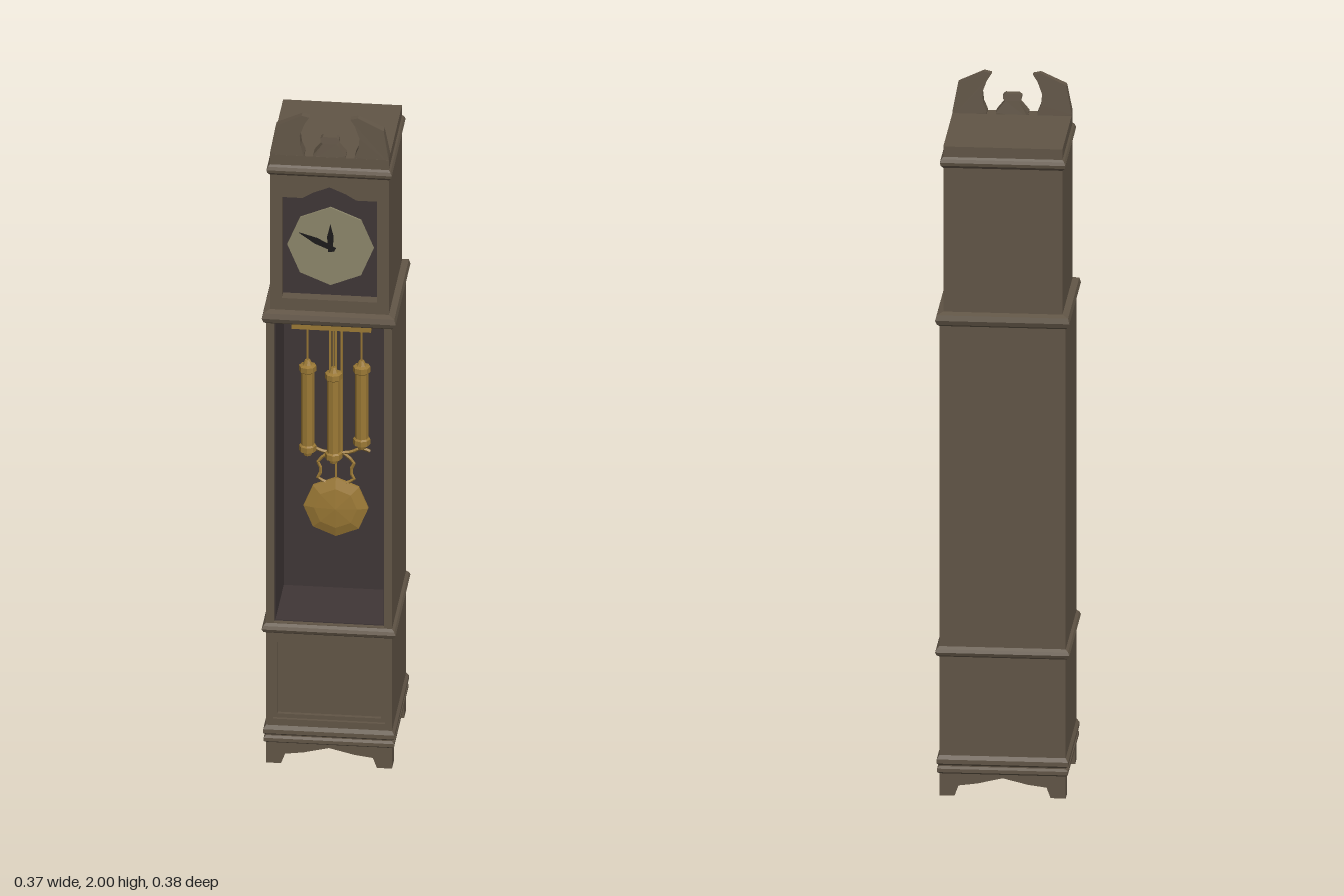
import * as THREE from 'three';

const mat = (color) => new THREE.MeshStandardMaterial({ color, flatShading: true, side: THREE.DoubleSide });

export function createModel() {
  const model = new THREE.Group();
  const wood = mat(0x615546), lining = mat(0x3f3636), brass = mat(0x9a7835),
    ivory = mat(0x8c866a), black = mat(0x1c1a1a);

  const add = (name, geo, material, x = 0, y = 0, z = 0, parent = model) => {
    const mesh = new THREE.Mesh(geo, material);
    mesh.name = name;
    mesh.position.set(x, y, z);
    parent.add(mesh);
    return mesh;
  };
  // box given by its limits
  const block = (name, material, x0, x1, y0, y1, z0, z1, parent) =>
    add(name, new THREE.BoxGeometry(x1 - x0, y1 - y0, z1 - z0), material,
      (x0 + x1) / 2, (y0 + y1) / 2, (z0 + z1) / 2, parent);
  const pts = (list) => list.map(([x, y]) => new THREE.Vector2(x, y));
  const rect = (w, y0, y1) => [[-w, y0], [w, y0], [w, y1], [-w, y1]];
  // flat outline with optional hole, extruded from z0 to z1
  const slab = (name, material, outline, hole, z0, z1, parent) => {
    const shape = new THREE.Shape(pts(outline));
    if (hole) shape.holes.push(new THREE.Path(pts(hole)));
    const geo = new THREE.ExtrudeGeometry(shape, { depth: z1 - z0, bevelEnabled: false });
    return add(name, geo, material, 0, 0, z0, parent);
  };
  // moulding running round the square case; profile is [half width, y]
  const moulding = (name, profile) => {
    const geo = new THREE.LatheGeometry(pts(profile.map(([w, y]) => [w * Math.SQRT2, y])), 4, Math.PI / 4);
    add(name, geo, wood).scale.z = 1.017;
  };

  // feet with arched aprons, front and back
  const apron = [[-0.175, 0], [-0.133, 0], [-0.122, 0.03], [-0.07, 0.037], [0, 0.054],
    [0.07, 0.037], [0.122, 0.03], [0.133, 0], [0.175, 0], [0.175, 0.07], [-0.175, 0.07]];
  slab('frontFeet', wood, apron, null, 0.13, 0.178);
  slab('backFeet', wood, apron, null, -0.178, -0.13);

  // base with a stepped, sunken panel
  block('base', wood, -0.175, 0.175, 0.062, 0.415, -0.178, 0.158);
  slab('baseFront', wood, rect(0.175, 0.062, 0.415), rect(0.156, 0.137, 0.382), 0.158, 0.178);
  slab('panelFrame', wood, rect(0.156, 0.137, 0.382), rect(0.144, 0.149, 0.37), 0.158, 0.169);

  // open trunk with dark lining
  const opening = rect(0.153, 0.435, 1.362);
  slab('trunk', wood, rect(0.175, 0.415, 1.385), opening, -0.05, 0.178);
  block('trunkBack', wood, -0.175, 0.175, 0.415, 1.385, -0.178, -0.05);
  slab('trunkLining', lining, opening, rect(0.15, 0.438, 1.359), -0.05, 0.165);
  block('trunkLiningBack', lining, -0.152, 0.152, 0.436, 1.361, -0.05, -0.046);

  // hood with an arched dial recess
  const arch = [[-0.132, 1.437], [0.132, 1.437], [0.132, 1.75], [0.075, 1.75], [0.045, 1.768],
    [0, 1.787], [-0.045, 1.768], [-0.075, 1.75], [-0.132, 1.75]];
  slab('hoodFront', wood, rect(0.165, 1.385, 1.88), arch, 0.13, 0.168);
  block('hood', wood, -0.165, 0.165, 1.385, 1.88, -0.168, 0.13);
  slab('dialPanel', lining, arch, null, 0.13, 0.134);

  // mouldings
  moulding('lowerPlinthMoulding', [[0.175, 0.064], [0.181, 0.069], [0.181, 0.079], [0.175, 0.085]]);
  moulding('upperPlinthMoulding', [[0.175, 0.088], [0.182, 0.094], [0.182, 0.106], [0.175, 0.117]]);
  moulding('waistMoulding', [[0.175, 0.403], [0.182, 0.408], [0.186, 0.417], [0.182, 0.426], [0.175, 0.433]]);
  moulding('shoulderMoulding', [[0.175, 1.362], [0.181, 1.367], [0.186, 1.38], [0.182, 1.395], [0.165, 1.401]]);
  moulding('cornice', [[0.165, 1.818], [0.172, 1.826], [0.174, 1.835], [0.17, 1.844], [0.165, 1.85]]);

  // pediment: two horns and a finial, thinning towards the top
  const taper = (mesh, y0, y1, k) => {
    const p = mesh.geometry.attributes.position;
    for (let i = 0; i < p.count; i++) {
      const t = Math.min(1, Math.max(0, (p.getY(i) - y0) / (y1 - y0)));
      p.setZ(i, 0.019 + (p.getZ(i) - 0.019) * (1 - (1 - k) * t));
    }
    mesh.geometry.computeVertexNormals();
  };
  const horn = [[0.165, 1.87], [0.165, 1.885], [0.15, 1.966], [0.078, 2], [0.057, 1.995],
    [0.07, 1.975], [0.083, 1.94], [0.08, 1.91], [0.07, 1.885], [0.07, 1.87]];
  for (const s of [-1, 1]) {
    const outline = horn.map(([x, y]) => [x * s, y]);
    taper(slab(s > 0 ? 'leftHorn' : 'rightHorn', wood, outline, null, 0.13, 0.168), 1.88, 2, 0.5);
  }
  const finial = [[-0.045, 1.87], [0.045, 1.87], [0.045, 1.885], [0.024, 1.912], [0.019, 1.918],
    [0.026, 1.924], [0.026, 1.932], [0.019, 1.938], [-0.019, 1.938], [-0.026, 1.932],
    [-0.026, 1.924], [-0.019, 1.918], [-0.024, 1.912], [-0.045, 1.885]];
  taper(slab('finial', wood, finial, null, 0.13, 0.168), 1.88, 1.94, 0.55);

  // octagonal dial and hands
  const dial = add('dial', new THREE.CylinderGeometry(0.12, 0.12, 0.006, 8), ivory, 0, 1.59, 0.137);
  dial.rotation.x = Math.PI / 2;
  const hand = (name, length, angle, z) => {
    const shape = new THREE.Shape(pts([[-0.006, -0.015], [0.006, -0.015], [0.009, length * 0.45],
      [0, length], [-0.009, length * 0.45]]));
    const geo = new THREE.ExtrudeGeometry(shape, { depth: 0.003, bevelEnabled: false });
    add(name, geo, black, 0, 1.59, z).rotation.z = angle;
  };
  hand('hourHand', 0.07, 0, 0.142);
  hand('minuteHand', 0.097, 1.12, 0.146);

  // seat board carrying the weights
  block('seatBoard', brass, -0.11, 0.11, 1.318, 1.36, 0.0, 0.12);
  const weight = (name, x, y0, y1) => {
    const g = new THREE.Group();
    g.name = name;
    const profile = [[0, y0], [0.011, y0], [0.015, y0 + 0.012], [0.024, y0 + 0.014], [0.024, y0 + 0.03],
      [0.019, y0 + 0.034], [0.019, y1 - 0.038], [0.024, y1 - 0.034], [0.024, y1 - 0.018],
      [0.014, y1 - 0.014], [0.007, y1], [0, y1]];
    add('weightBody', new THREE.LatheGeometry(pts(profile), 8), brass, x, 0, 0.06, g);
    add('cable', new THREE.CylinderGeometry(0.003, 0.003, 1.32 - y1, 6), brass, x, (1.32 + y1) / 2, 0.06, g);
    model.add(g);
  };
  weight('rightWeight', -0.072, 0.9, 1.195);
  weight('middleWeight', 0, 0.88, 1.175);
  weight('leftWeight', 0.078, 0.928, 1.2);

  // pendulum: rods, crossbar, lyre and faceted bob
  const pendulum = new THREE.Group();
  pendulum.name = 'pendulum';
  model.add(pendulum);
  for (const x of [-0.016, 0, 0.016])
    block('rod', brass, x - 0.003, x + 0.003, x ? 0.88 : 0.72, 1.33, -0.003, 0.003, pendulum);
  for (const s of [-1, 1]) {
    const curl = (name, list, r) => add(name, new THREE.TubeGeometry(new THREE.CatmullRomCurve3(
      list.map(([x, y]) => new THREE.Vector3(x * s, y, 0))), 8, r, 5), brass, 0, 0, 0, pendulum);
    curl('crossbarArm', [[0, 0.88], [0.04, 0.884], [0.07, 0.897], [0.095, 0.889]], 0.005);
    curl('lyreArm', [[0.012, 0.885], [0.03, 0.872], [0.05, 0.85], [0.04, 0.825], [0.05, 0.8], [0.02, 0.785]], 0.005);
  }
  const bob = [[0, -0.02], [0.06, -0.014], [0.09, -0.004], [0.09, 0.004], [0.06, 0.014], [0, 0.02]];
  add('bob', new THREE.LatheGeometry(pts(bob), 8), brass, 0, 0.713, 0, pendulum).rotation.x = Math.PI / 2;

  return model;
}
